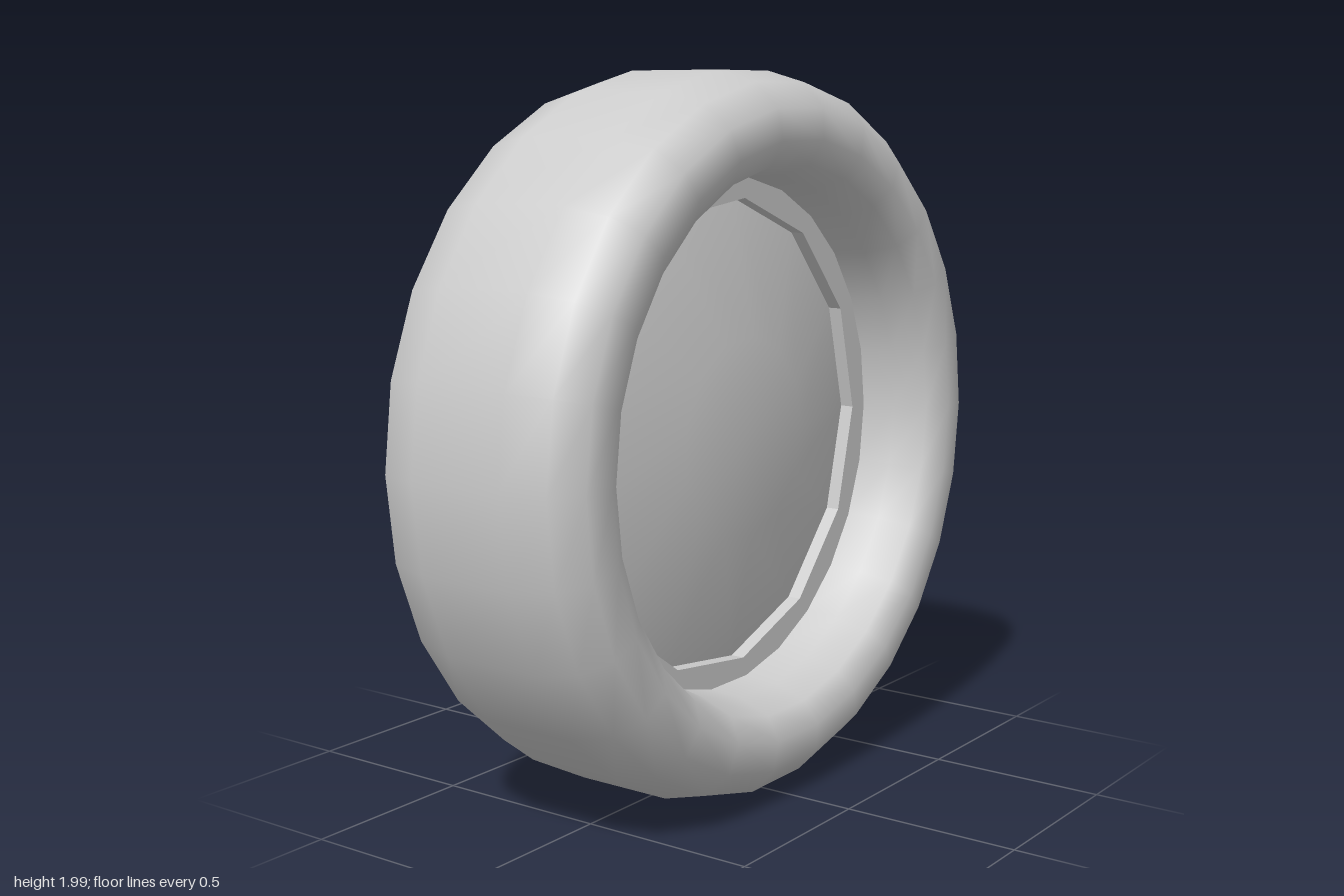
import * as THREE from 'three';

const TIRE_SIDES = 26, HUB_SIDES = 13;
const HUB_X = -0.01, RIM_R = 0.715, HUB_R = 0.655, RIM_Z = 0.1, FLOOR_Z = 0.06;

const smooth = new THREE.MeshStandardMaterial({ color: 0xcccccc });
const flat = new THREE.MeshStandardMaterial({ color: 0xcccccc, flatShading: true });

// Lathe around the z axis, with a vertex on +x; points are [radius, z]
function latheZ(points, sides) {
  const profile = points.map(([r, z]) => new THREE.Vector2(r, z));
  return new THREE.LatheGeometry(profile, sides, Math.PI / 2).rotateX(Math.PI / 2);
}

function polygon(r, sides, x = 0) {
  return Array.from({ length: sides }, (_, i) => {
    const a = (i / sides) * Math.PI * 2;
    return new THREE.Vector2(x + r * Math.cos(a), r * Math.sin(a));
  });
}

function add(parent, name, geometry, material, x = 0) {
  const mesh = new THREE.Mesh(geometry, material);
  mesh.name = name;
  mesh.position.x = x;
  parent.add(mesh);
  return mesh;
}

// One face of the wheel disc: flat rim, recess wall and domed cover
function wheelFace(name, coverMaterial) {
  const face = new THREE.Group();
  face.name = name;

  const rim = new THREE.Shape(polygon(RIM_R, TIRE_SIDES));
  rim.holes.push(new THREE.Path(polygon(HUB_R, HUB_SIDES, HUB_X)));
  add(face, 'rim', new THREE.ShapeGeometry(rim).translate(0, 0, RIM_Z), smooth);

  add(face, 'recessWall', latheZ([[HUB_R, RIM_Z], [HUB_R, FLOOR_Z]], HUB_SIDES), flat, HUB_X);
  add(face, 'hubCover', latheZ([[HUB_R, FLOOR_Z], [0.28, 0.16], [0, 0.16]], HUB_SIDES),
    coverMaterial, HUB_X);
  return face;
}

export function createModel() {
  const wheel = new THREE.Group();
  wheel.name = 'wheel';

  // Tire: half profile from the inner edge to the tread, mirrored in z
  const half = [[0.71, 0.09], [0.717, 0.2], [0.75, 0.295], [0.815, 0.335],
    [0.9, 0.325], [0.968, 0.26], [1, 0.14]];
  const back = half.map(([r, z]) => [r, -z]);
  add(wheel, 'tire', latheZ([...back, ...half.slice().reverse()], TIRE_SIDES), smooth);

  // Smooth cover in front, faceted cover behind
  wheel.add(wheelFace('frontFace', smooth));
  const rear = wheelFace('backFace', flat);
  rear.rotation.x = Math.PI;
  wheel.add(rear);

  // The tire rests on a flat of its polygon
  wheel.position.y = Math.cos(Math.PI / TIRE_SIDES);
  const model = new THREE.Group();
  model.add(wheel);
  return model;
}
